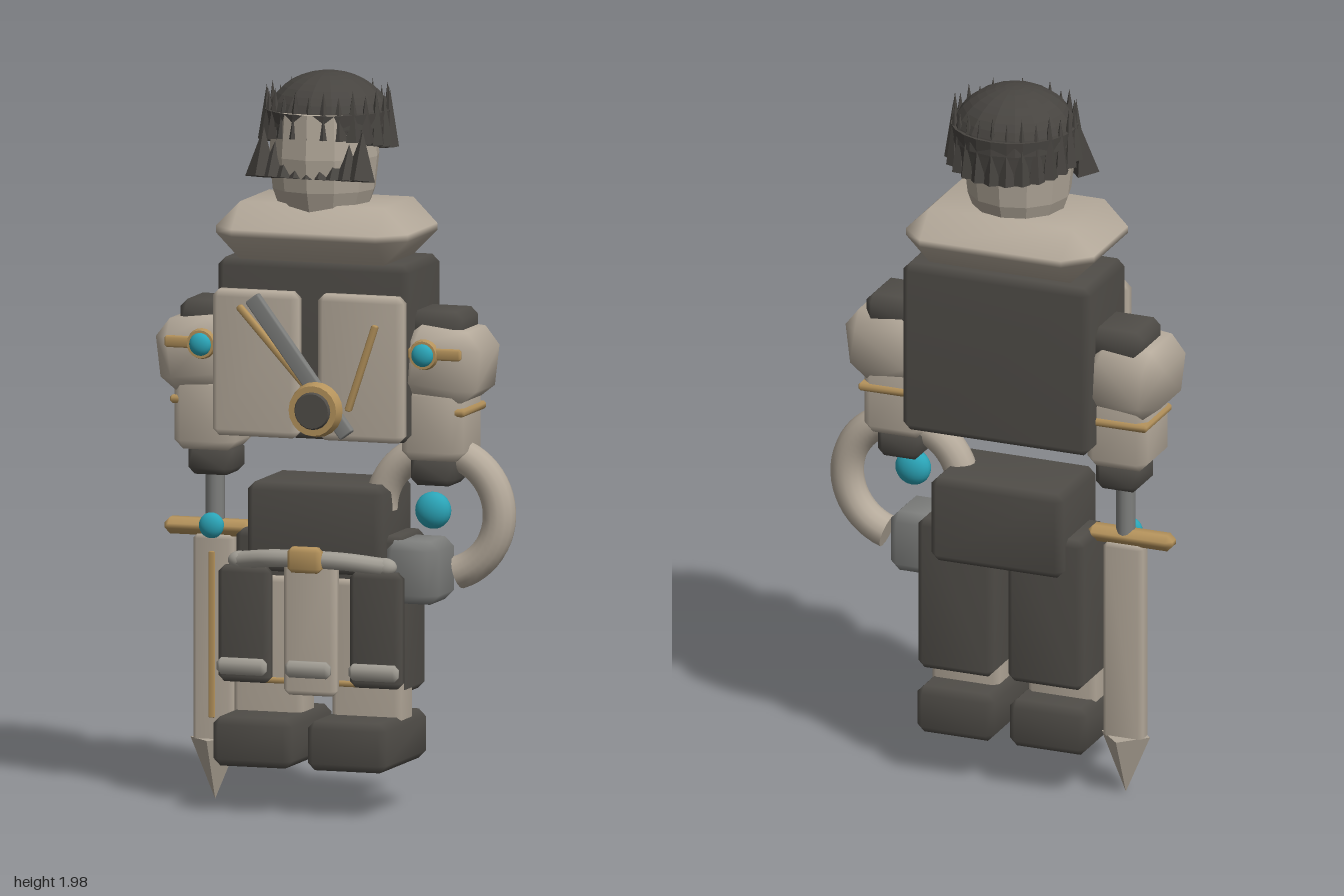
import * as THREE from 'three';
import { mergeVertices } from 'three/addons/utils/BufferGeometryUtils.js';
import { ConvexGeometry } from 'three/addons/geometries/ConvexGeometry.js';

const CX = -0.036; // body centre line

function mat(name, color, extra = {}) {
  const m = new THREE.MeshStandardMaterial({ color, ...extra });
  m.name = name;
  return m;
}

// Box with chamfered edges; big faces stay flat while the bevels shade softly
function chamferBox(w, h, d, b) {
  const pts = [];
  for (const x of [-1, 1]) for (const y of [-1, 1]) for (const z of [-1, 1]) {
    const X = w / 2, Y = h / 2, Z = d / 2;
    pts.push(new THREE.Vector3(x * X, y * (Y - b), z * (Z - b)));
    pts.push(new THREE.Vector3(x * (X - b), y * Y, z * (Z - b)));
    pts.push(new THREE.Vector3(x * (X - b), y * (Y - b), z * Z));
  }
  const g = new ConvexGeometry(pts);
  g.deleteAttribute('normal');
  const merged = mergeVertices(g, 1e-4);
  merged.computeVertexNormals();
  return merged;
}

export function createModel() {
  const root = new THREE.Group();
  root.name = 'armouredFigure';
  const cloth = mat('charcoal', 0x504d48);
  const hair = mat('darkHair', 0x474440, { flatShading: true });
  const plate = mat('paleArmour', 0xb5aa9b);
  const skin = mat('stoneSkin', 0xb0a698, { flatShading: true });
  const grey = mat('steelGrey', 0x7e7f7d);
  const trim = mat('paleGreyTrim', 0xa19d94);
  const gold = mat('gold', 0xb5935c);
  const blue = mat('turquoise', 0x2ba5b8);

  function add(name, geo, material, x = 0, y = 0, z = 0, parent = root) {
    const m = new THREE.Mesh(geo, material);
    m.name = name;
    m.position.set(x, y, z);
    parent.add(m);
    return m;
  }
  // Chamfered box given by its extents
  function box(name, material, x0, x1, y0, y1, z0, z1, b = 0.015, parent = root) {
    return add(name, chamferBox(x1 - x0, y1 - y0, z1 - z0, b), material,
      (x0 + x1) / 2, (y0 + y1) / 2, (z0 + z1) / 2, parent);
  }
  // Thin bar on the chest between two points
  function bar(name, material, x0, y0, x1, y1, width, z0, z1) {
    const len = Math.hypot(x1 - x0, y1 - y0);
    const m = add(name, chamferBox(width, len, z1 - z0, 0.004), material,
      (x0 + x1) / 2, (y0 + y1) / 2, (z0 + z1) / 2);
    m.rotation.z = -Math.atan2(x1 - x0, y1 - y0);
    return m;
  }
  function ball(name, material, x, y, z, rx, ry, rz, parent = root) {
    const m = add(name, new THREE.SphereGeometry(1, 20, 14), material, x, y, z, parent);
    m.scale.set(rx, ry, rz);
    return m;
  }
  function disc(name, material, r, depth, x, y, z, parent = root) {
    const m = add(name, new THREE.CylinderGeometry(r * 0.9, r, depth, 20), material, x, y, z, parent);
    m.rotation.x = Math.PI / 2;
    return m;
  }

  // Torso, chest plates and collar
  box('torso', cloth, -0.307, 0.235, 1.02, 1.5, -0.185, 0.092, 0.02);
  box('chestPlateRight', plate, -0.307, -0.063, 1.025, 1.42, 0.08, 0.138, 0.018);
  box('chestPlateLeft', plate, -0.008, 0.235, 1.025, 1.42, 0.08, 0.138, 0.018);
  box('collar', plate, -0.307, 0.237, 1.5, 1.655, -0.211, 0.163, 0.068);

  // Chest ornaments
  bar('chestStaff', grey, -0.185, 1.405, 0.085, 1.045, 0.042, 0.135, 0.163);
  bar('chestTrimRight', gold, -0.225, 1.38, -0.01, 1.145, 0.018, 0.136, 0.155);
  bar('chestTrimLeft', gold, 0.163, 1.345, 0.085, 1.11, 0.018, 0.136, 0.155);
  disc('medallionRim', gold, 0.075, 0.032, 0.002, 1.113, 0.18);
  disc('medallionCentre', cloth, 0.052, 0.01, 0.002, 1.113, 0.199);

  // Head
  const profile = [[0, 1.6], [0.115, 1.62], [0.14, 1.69], [0.15, 1.78], [0.14, 1.9], [0, 1.93]]
    .map(([r, y]) => new THREE.Vector2(r, y));
  add('head', new THREE.LatheGeometry(profile, 12), skin, CX, 0, -0.008);

  // Hair: faceted dome ringed with upright tufts, lower at the back
  const HZ = -0.042;
  const dome = add('hairDome', new THREE.SphereGeometry(0.172, 16, 10, 0, Math.PI * 2, 0, Math.PI / 2),
    hair, CX, 1.86, HZ);
  dome.scale.y = 0.14 / 0.172;
  const band = new THREE.CylinderGeometry(0.172, 0.163, 0.1, 24, 2);
  const bp = band.attributes.position;
  for (let i = 0; i < bp.count; i++) {
    if (bp.getY(i) < 0) bp.setY(i, bp.getY(i) + bp.getZ(i) * 0.17);
  }
  add('hairBand', band, hair, CX, 1.85, HZ);
  const tufts = 26;
  for (let i = 0; i < tufts; i++) {
    const a = (i / tufts) * Math.PI * 2;
    const s = Math.sin(a), c = Math.cos(a);
    const low = 1.805 + 0.03 * c, high = 1.95 + (i % 2) * 0.015;
    const t = add('hairTuft', new THREE.ConeGeometry(0.024, high - low, 5), hair,
      CX + s * 0.166, (low + high) / 2, HZ + c * 0.156);
    t.rotation.y = a;
  }

  // Beard: row of tufts, tallest at the sides
  for (let i = -4; i <= 4; i++) {
    const k = Math.abs(i) / 4;
    const h = 0.05 + 0.085 * k * k;
    const t = add('beardTuft', new THREE.ConeGeometry(0.028 + 0.016 * k, h, 4), hair,
      CX + i * 0.035, 1.725 + h / 2, 0.115 - 0.022 * k);
    t.rotation.x = -0.2;
  }

  // Arms, mirrored about the centre line
  for (const s of [-1, 1]) {
    const arm = new THREE.Group();
    arm.name = s < 0 ? 'rightArm' : 'leftArm';
    arm.position.set(CX, 0, -0.036);
    root.add(arm);
    const b = (name, m, x0, x1, y0, y1, z0, z1, bev) =>
      box(name, m, Math.min(s * x0, s * x1), Math.max(s * x0, s * x1), y0, y1, z0, z1, bev, arm);
    b('upperArm', plate, 0.235, 0.455, 1.13, 1.33, -0.12, 0.12, 0.045).rotation.z = -s * 0.12;
    b('shoulderCap', cloth, 0.25, 0.4, 1.28, 1.372, -0.095, 0.068, 0.02);
    b('forearm', plate, 0.235, 0.41, 0.97, 1.17, -0.09, 0.096, 0.025);
    b('armBand', gold, 0.227, 0.417, 1.094, 1.116, -0.097, 0.09, 0.006);
    b('hand', cloth, 0.253, 0.378, 0.9, 0.985, -0.066, 0.066, 0.018);
    b('armStrap', gold, 0.27, 0.42, 1.25, 1.282, 0.11, 0.128, 0.006);
    disc('gemSetting', gold, 0.042, 0.016, s * 0.315, 1.263, 0.125, arm);
    ball('armGem', blue, s * 0.315, 1.263, 0.132, 0.031, 0.031, 0.018, arm);
  }

  // Sword, point down in the right hand
  const sword = new THREE.Group();
  sword.name = 'sword';
  sword.position.set(-0.355, 0, -0.036);
  root.add(sword);
  add('swordGrip', new THREE.CylinderGeometry(0.026, 0.026, 0.18, 12), grey, 0, 0.84, 0, sword);
  box('swordGuard', gold, -0.14, 0.105, 0.73, 0.775, -0.028, 0.028, 0.016, sword);
  ball('swordGem', blue, 0, 0.76, 0.03, 0.035, 0.035, 0.022, sword);
  box('swordBlade', plate, -0.056, 0.058, 0.17, 0.735, -0.027, 0.027, 0.012, sword);
  box('swordInlay', gold, -0.009, 0.009, 0.24, 0.69, 0.024, 0.032, 0.003, sword);
  add('swordTip', new THREE.ConeGeometry(0.07, 0.165, 4).rotateX(Math.PI), skin, 0, 0.1, 0, sword);

  // Open ring, gem and block at the left hand
  const ring = add('handRing', new THREE.TorusGeometry(0.168, 0.045, 14, 40, Math.PI * 1.4), plate,
    0.283, 0.822, -0.036);
  ring.rotation.z = -Math.PI * 0.4;
  for (const a of [0, Math.PI * 1.4]) {
    const cap = add('ringEnd', new THREE.CircleGeometry(0.045, 14), plate,
      0.168 * Math.cos(a), 0.168 * Math.sin(a), 0, ring);
    cap.rotation.set(a === 0 ? Math.PI / 2 : -Math.PI / 2, 0, 0);
    if (a !== 0) cap.rotation.set(-Math.PI / 2, a, 0, 'ZXY');
    if (a !== 0) cap.quaternion.setFromUnitVectors(new THREE.Vector3(0, 0, 1),
      new THREE.Vector3(-Math.sin(a), Math.cos(a), 0));
  }
  ball('ringGem', blue, 0.283, 0.835, 0.02, 0.05, 0.05, 0.034);
  box('hipBlock', grey, 0.15, 0.302, 0.58, 0.75, -0.116, 0.053, 0.025);

  // Waist and belt
  box('waist', cloth, -0.228, 0.155, 0.655, 0.895, -0.182, 0.08, 0.02);
  const beltPath = new THREE.CatmullRomCurve3([[-0.24, 0.685, 0.09], [-0.13, 0.7, 0.125],
    [0.06, 0.7, 0.125], [0.17, 0.685, 0.09]].map(p => new THREE.Vector3(...p)));
  add('belt', new THREE.TubeGeometry(beltPath, 16, 0.024, 10), trim);
  for (const x of [-0.24, 0.17]) ball('beltEnd', trim, x, 0.685, 0.09, 0.034, 0.025, 0.024);
  box('buckle', gold, -0.083, 0.012, 0.668, 0.737, 0.125, 0.168, 0.012);

  // Legs, skirt panels and boots
  for (const s of [-1, 1]) {
    const side = new THREE.Group();
    side.name = s < 0 ? 'rightLeg' : 'leftLeg';
    side.position.x = CX;
    root.add(side);
    const b = (name, m, x0, x1, y0, y1, z0, z1, bev) =>
      box(name, m, Math.min(s * x0, s * x1), Math.max(s * x0, s * x1), y0, y1, z0, z1, bev, side);
    b('thigh', cloth, 0.02, 0.24, 0.33, 0.76, -0.153, 0.035, 0.018);
    b('shin', plate, 0.042, 0.236, 0.25, 0.64, -0.06, 0.058, 0.015);
    b('kneeTrim', gold, 0.045, 0.232, 0.352, 0.368, 0.04, 0.065, 0.004);
    b('skirtPanel', cloth, 0.113, 0.26, 0.358, 0.672, 0.07, 0.12, 0.016);
    b('panelCuff', trim, 0.117, 0.257, 0.38, 0.425, 0.108, 0.14, 0.012);
    b('boot', cloth, 0.022, 0.246, 0.142, 0.275, -0.148, 0.207, 0.02);
  }
  box('tabard', plate, -0.11, 0.038, 0.33, 0.69, 0.07, 0.118, 0.014);
  box('tabardCuff', trim, -0.1, 0.028, 0.38, 0.425, 0.108, 0.14, 0.012);

  return root;
}
